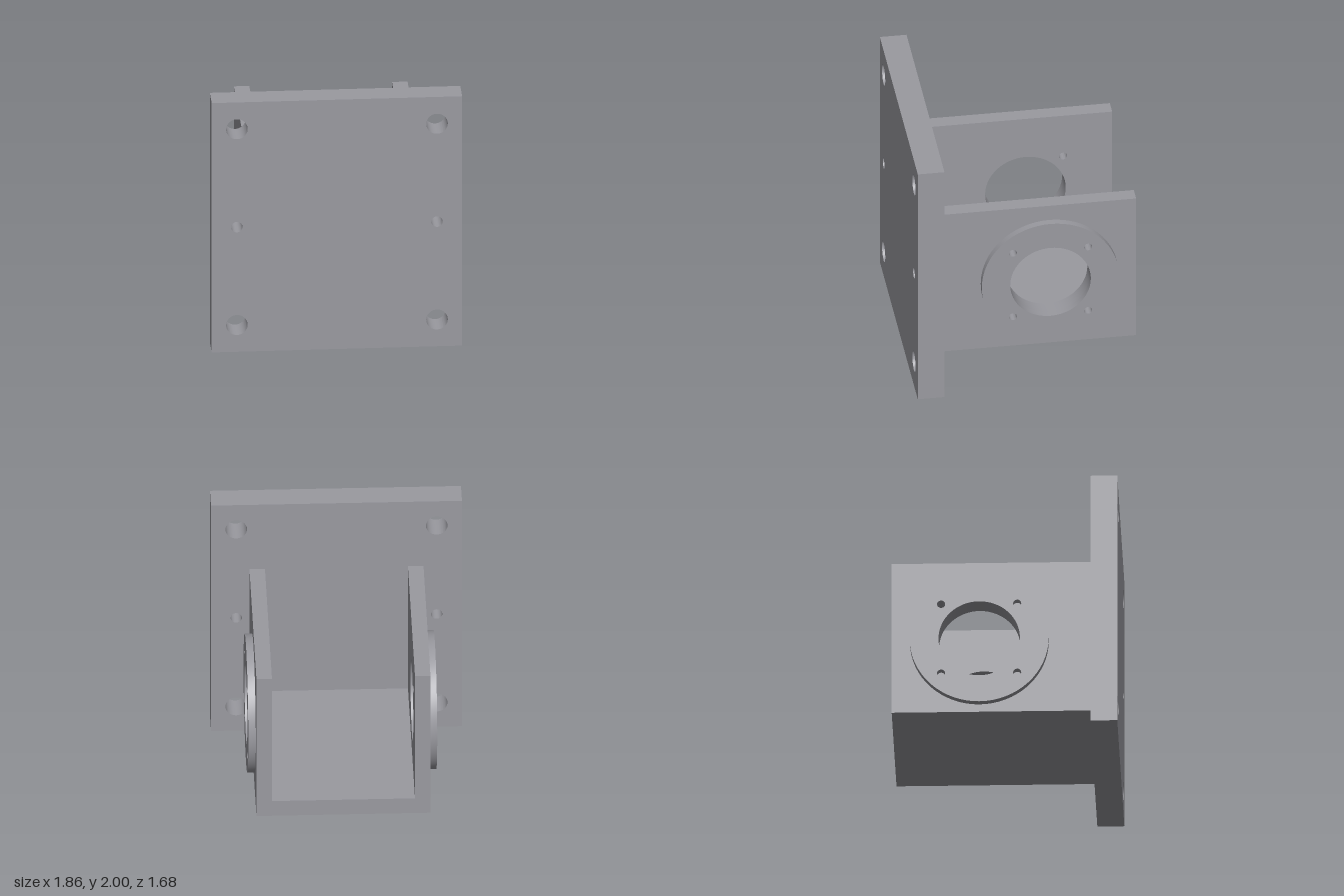
import * as THREE from 'three';
import { toCreasedNormals } from 'three/addons/utils/BufferGeometryUtils.js';

const BORE = { z: -0.19, y: 0.79, r: 0.302 };
const BOLT_R = 0.03, BOLT_OFFSET = 0.282;

export function createModel() {
  const model = new THREE.Group();
  model.name = 'mountingBracket';
  const grey = new THREE.MeshStandardMaterial({ color: 0x9a9aa0 });
  grey.name = 'machined grey';

  const add = (name, geometry) => {
    const mesh = new THREE.Mesh(geometry, grey);
    mesh.name = name;
    model.add(mesh);
    return mesh;
  };

  const rectangle = (x0, y0, x1, y1) => new THREE.Shape([
    new THREE.Vector2(x0, y0), new THREE.Vector2(x1, y0),
    new THREE.Vector2(x1, y1), new THREE.Vector2(x0, y1),
  ]);

  const drill = (shape, x, y, r) =>
    shape.holes.push(new THREE.Path().absarc(x, y, r, 0, Math.PI * 2, true));

  const extrude = (shape, depth) => toCreasedNormals(
    new THREE.ExtrudeGeometry(shape, { depth, bevelEnabled: false, curveSegments: 32 }), 0.6);

  // Turns a (-z, y) profile so that its thickness runs along x
  const sideways = (shape, x0, x1) =>
    extrude(shape, x1 - x0).rotateY(Math.PI / 2).translate(x0, 0, 0);

  // Front flange with four large and two small mounting holes
  const flange = rectangle(-0.93, 0, 0.93, 2);
  for (const side of [-1, 1]) {
    drill(flange, side * 0.743, 1.785, 0.08);
    drill(flange, side * 0.743, 1, 0.042);
    drill(flange, side * 0.743, 0.215, 0.08);
  }
  add('frontFlange', extrude(flange, 0.2).translate(0, 0, 0.64));

  // Floor of the channel
  const floor = new THREE.BoxGeometry(1.06, 0.13, 1.48);
  add('channelFloor', floor.translate(0, 0.28, -0.1));

  // Bolt positions around the bore
  const bolts = [];
  for (const dz of [-1, 1]) for (const dy of [-1, 1]) {
    bolts.push({ u: -(BORE.z + dz * BOLT_OFFSET), v: BORE.y + dy * BOLT_OFFSET, through: dz < 0 && dy > 0 });
  }

  // Side walls with round bosses; most bolt holes on the right are blind
  for (const side of [-1, 1]) {
    const label = side > 0 ? 'left' : 'right';
    const wall = rectangle(-0.64, 0.215, 0.84, 1.43);
    const boss = new THREE.Shape().absarc(-BORE.z, BORE.y, 0.515, 0, Math.PI * 2, false);
    drill(wall, -BORE.z, BORE.y, BORE.r);
    drill(boss, -BORE.z, BORE.y, BORE.r);
    for (const { u, v, through } of bolts) {
      drill(boss, u, v, BOLT_R);
      if (side > 0 || through) drill(wall, u, v, BOLT_R);
    }
    const span = (a, b) => (side > 0 ? [a, b] : [-b, -a]);
    add(label + 'Wall', sideways(wall, ...span(0.53, 0.645)));
    add(label + 'Boss', sideways(boss, ...span(0.645, 0.7)));
  }

  return model;
}
